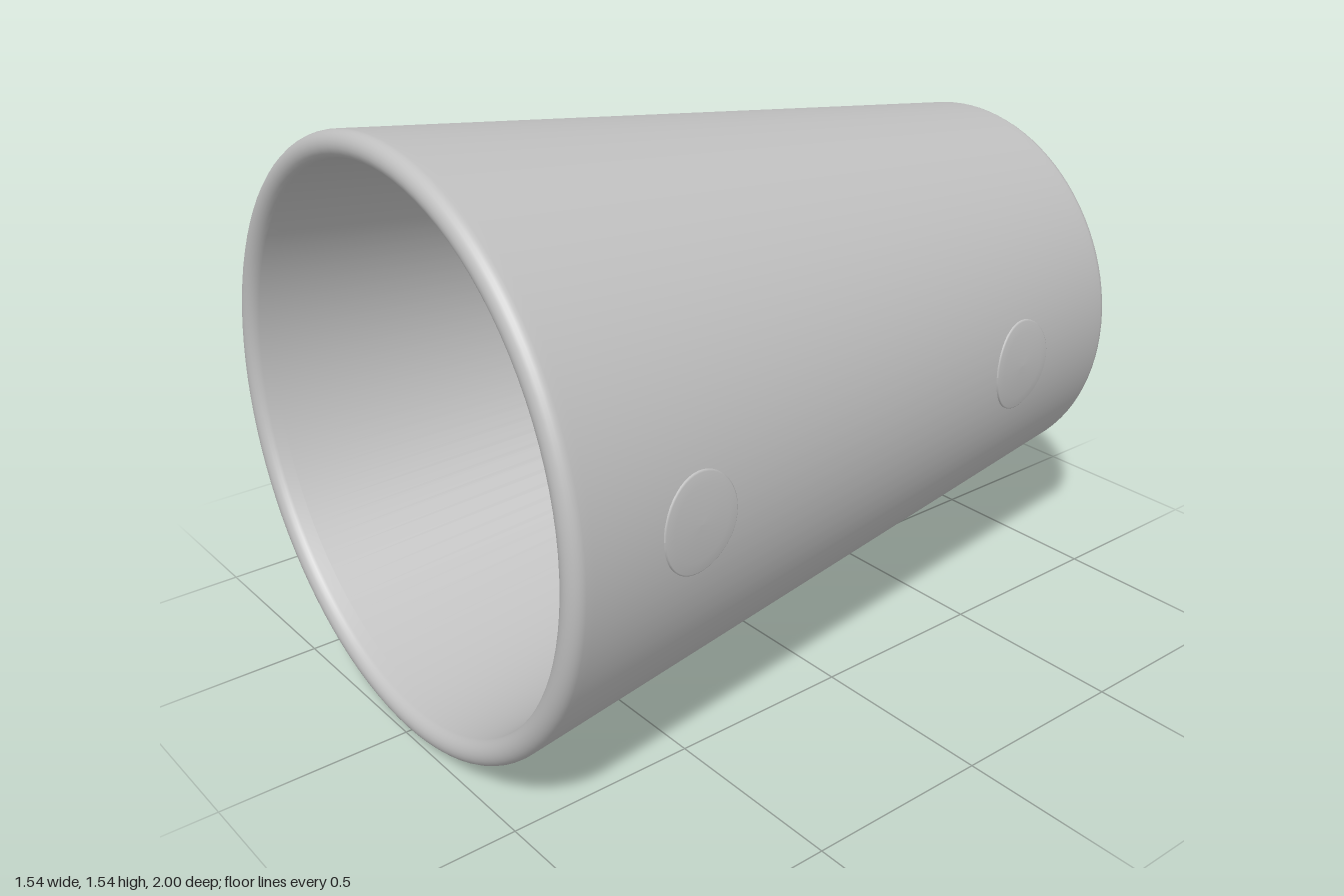
import * as THREE from 'three';

const CENTER_Y = 0.772;
const SLOPE = 0.1225;
const TILT = Math.atan(SLOPE);
// Outer radius of the tapered wall at depth z
const wallRadius = (z) => 0.77 - (0.965 - z) * SLOPE;

// Points of a circular arc in the (radius, depth) plane
function arc(r, z, size, from, to, steps) {
  return Array.from({ length: steps + 1 }, (_, i) => {
    const a = from + ((to - from) * i) / steps;
    return new THREE.Vector2(r + Math.cos(a) * size, z + Math.sin(a) * size);
  });
}

// Hollow cup: closed base, rounded base edge, full round lip, inner wall and floor
function cupGeometry() {
  const H = Math.PI / 2;
  const base = arc(wallRadius(-0.965) - 0.035, -0.965, 0.035, -H, -TILT, 6);
  const lip = arc(0.737, 0.967, 0.033, -TILT, Math.PI - TILT, 12);
  const inner = (z) => wallRadius(z) - 0.066;
  const floor = arc(inner(-0.9) - 0.03, -0.9, 0.03, -TILT, -H, 5);
  const points = [
    new THREE.Vector2(0, -1),
    new THREE.Vector2(base[0].x - 0.005, -1),
    ...base,
    new THREE.Vector2(wallRadius(-0.94), -0.94),
    new THREE.Vector2(wallRadius(0.94), 0.94),
    ...lip,
    new THREE.Vector2(inner(0.94), 0.94),
    new THREE.Vector2(inner(-0.88), -0.88),
    ...floor,
    new THREE.Vector2(floor[5].x - 0.005, -0.93),
    new THREE.Vector2(0, -0.93),
  ];
  return new THREE.LatheGeometry(points, 96).rotateX(Math.PI / 2);
}

// Thin round pad bent to follow the tapered wall on the +x side
function padGeometry(centerZ) {
  const profile = [[1, -0.01], [1, 0.003], [0.97, 0.005], [0.75, 0.005], [0.5, 0.005], [0.25, 0.005], [0, 0.005]];
  const geo = new THREE.LatheGeometry(profile.map(([r, h]) => new THREE.Vector2(r, h)), 48);
  const p = geo.attributes.position;
  for (let i = 0; i < p.count; i++) {
    const z = centerZ + p.getZ(i) * 0.113;
    const y = -p.getX(i) * 0.124;
    const radius = wallRadius(z) + p.getY(i);
    p.setXYZ(i, Math.sqrt(radius * radius - y * y), y, z);
  }
  geo.computeVertexNormals();
  return geo;
}

export function createModel() {
  const group = new THREE.Group();
  group.name = 'cup';
  const grey = new THREE.MeshStandardMaterial({ color: 0xc0c0c0 });
  grey.name = 'light grey';

  const add = (name, geometry) => {
    const mesh = new THREE.Mesh(geometry, grey);
    mesh.name = name;
    mesh.position.y = CENTER_Y;
    group.add(mesh);
  };

  add('cupBody', cupGeometry());
  add('frontPad', padGeometry(0.63));
  add('rearPad', padGeometry(-0.585));
  return group;
}
